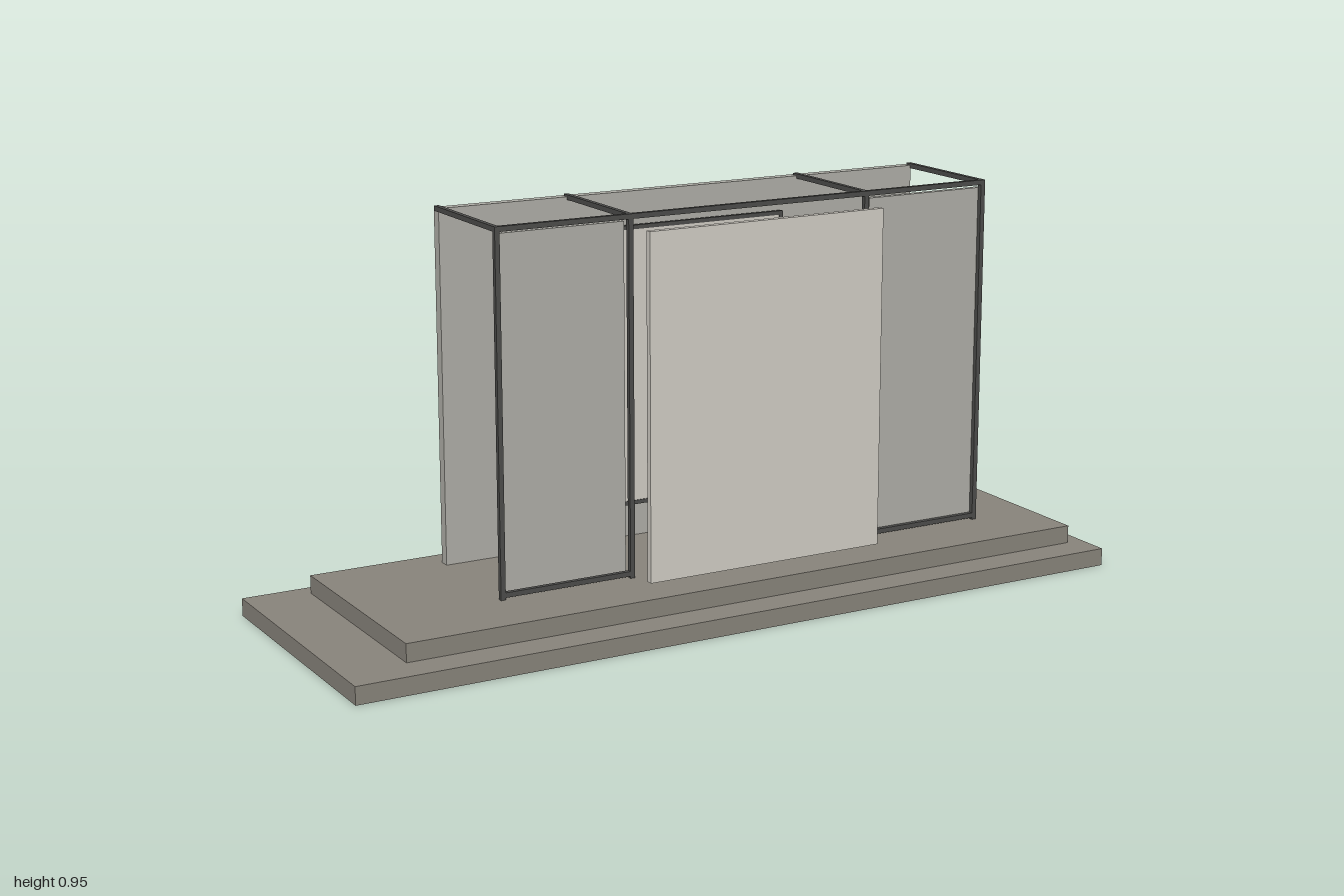
import * as THREE from 'three';

const mat = (color) => new THREE.MeshStandardMaterial({ color });

export function createModel() {
  const model = new THREE.Group();
  model.name = 'exhibitionStand';

  const stone = mat(0x87837a);
  const wall = mat(0xaeada6);
  const light = mat(0xd0ccc4);
  const dark = mat(0x4c4c4a);

  // box given by its extents on each axis
  function box(name, material, [x0, x1], [y0, y1], [z0, z1], parent = model) {
    const mesh = new THREE.Mesh(new THREE.BoxGeometry(x1 - x0, y1 - y0, z1 - z0), material);
    mesh.position.set((x0 + x1) / 2, (y0 + y1) / 2, (z0 + z1) / 2);
    mesh.name = name;
    parent.add(mesh);
    return mesh;
  }

  // stepped plinth
  box('lowerStep', stone, [-1, 1], [0, 0.043], [-0.342, 0.342]);
  box('upperStep', stone, [-0.845, 0.957], [0.043, 0.087], [-0.299, 0.259]);

  // walls and panels
  box('backWall', wall, [-0.533, 0.781], [0.087, 0.947], [-0.238, -0.212]);
  box('rightSidePanel', wall, [-0.522, -0.2], [0.092, 0.932], [0.056, 0.07]);
  box('leftSidePanel', wall, [0.46, 0.794], [0.092, 0.932], [0.068, 0.083]);
  box('centrePanel', light, [-0.19, 0.44], [0.095, 0.923], [0.158, 0.174]);

  // slim metal frame: posts, roof beams and rails
  const frame = new THREE.Group();
  frame.name = 'frame';
  model.add(frame);
  const posts = [-0.531, -0.195, 0.445, 0.785];
  const h = 0.006;
  const front = [0.083, 0.095];
  for (const x of posts) {
    box('post', dark, [x - h, x + h], [0.087, 0.94], front, frame);
    box('roofBeam', dark, [x - h, x + h], [0.94, 0.952], [-0.228, 0.095], frame);
  }
  for (let i = 0; i < 3; i++) {
    const span = [posts[i] + h, posts[i + 1] - h];
    box('topRail', dark, span, [0.94, 0.952], front, frame);
    if (i !== 1) box('bottomRail', dark, span, [0.092, 0.104], front, frame);
  }

  // framed display in front of the back wall
  const display = new THREE.Group();
  display.name = 'display';
  model.add(display);
  const z = [-0.203, -0.193], b = 0.01;
  const [x0, x1, y0, y1] = [-0.138, 0.388, 0.171, 0.867];
  box('displayTop', dark, [x0, x1], [y1 - b, y1], z, display);
  box('displayBottom', dark, [x0, x1], [y0, y0 + b], z, display);
  for (const x of [x0, x1 - b]) box('displaySide', dark, [x, x + b], [y0 + b, y1 - b], z, display);
  box('displayFace', light, [x0 + b, x1 - b], [y0 + b, y1 - b], [-0.202, -0.195], display);

  return model;
}
